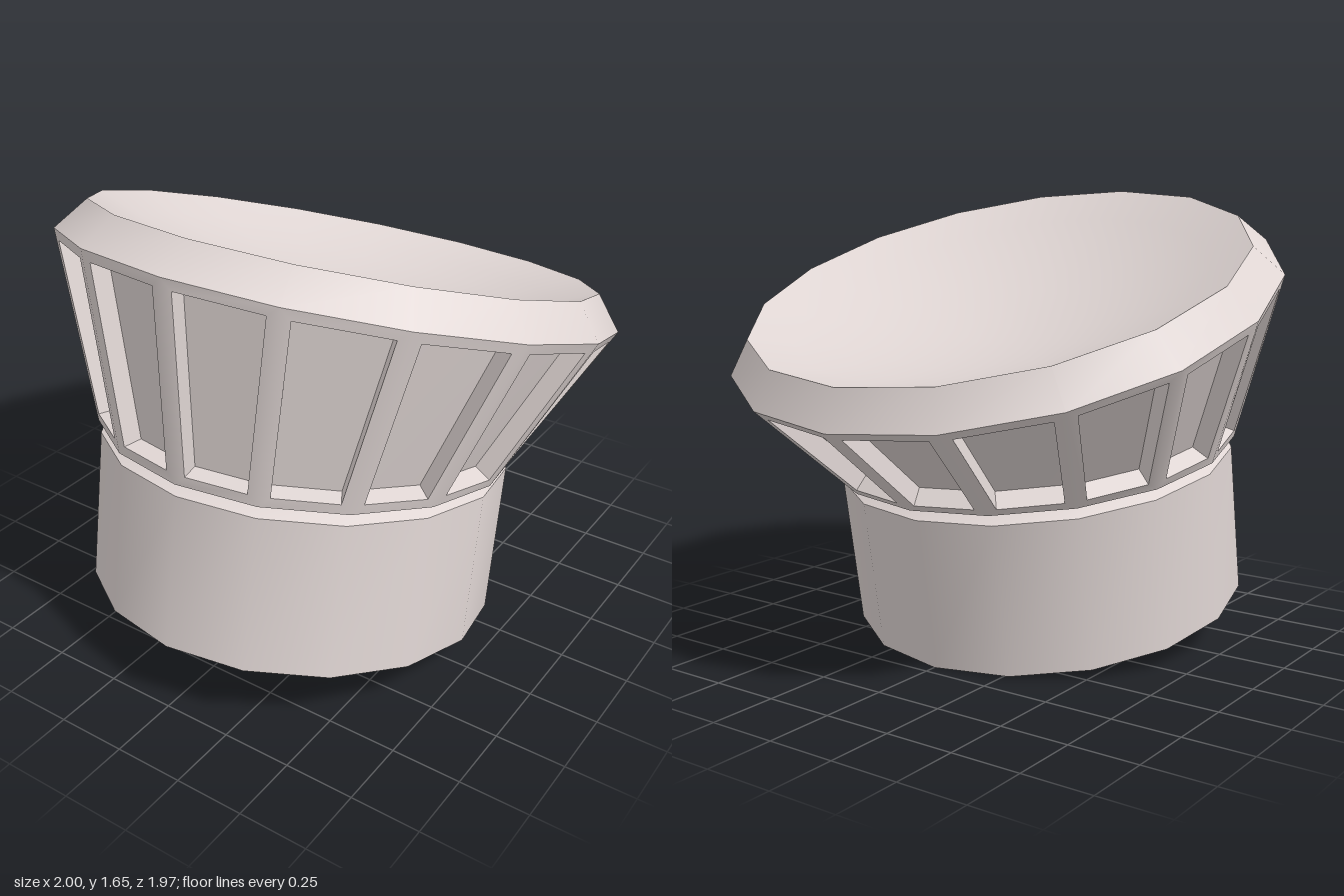
import * as THREE from 'three';
import { toCreasedNormals } from 'three/addons/utils/BufferGeometryUtils.js';

const SIDES = 16;
const fabric = new THREE.MeshStandardMaterial({ color: 0xe0d6d4, side: THREE.DoubleSide });
fabric.name = 'off-white fabric';

// Tilted ring of points: centre height, centre depth, radius, backward tilt in degrees
function ring(cy, cz, r, degrees) {
  const t = THREE.MathUtils.degToRad(degrees);
  return Array.from({ length: SIDES }, (_, i) => {
    const a = (i / SIDES) * Math.PI * 2;
    const d = r * Math.cos(a);
    return new THREE.Vector3(r * Math.sin(a), cy + d * Math.sin(t), cz + d * Math.cos(t));
  });
}

const quad = (a, b, c, d) => [a, b, c, a, c, d];

// Wall between two rings, facing outwards
function wall(lower, upper) {
  return lower.flatMap((p, i) => {
    const j = (i + 1) % SIDES;
    return quad(p, lower[j], upper[j], upper[i]);
  });
}

// Fan from a ring to a centre point
const fan = (points, centre) => points.flatMap((p, i) => [p, points[(i + 1) % SIDES], centre]);

function addPart(group, name, points) {
  const geometry = new THREE.BufferGeometry().setFromPoints(points);
  const mesh = new THREE.Mesh(toCreasedNormals(geometry, 0.55), fabric);
  mesh.name = name;
  group.add(mesh);
}

// Move a corner inwards by a fixed margin along both of its edges
function insetCorner(corner, alongSide, alongHeight, margin) {
  const s = alongSide.clone().sub(corner).normalize();
  const h = alongHeight.clone().sub(corner).normalize();
  return corner.clone().addScaledVector(s, margin).addScaledVector(h, margin);
}

export function createModel() {
  const hat = new THREE.Group();
  hat.name = 'pleatedHat';

  // Ring outlines from the head opening to the top
  const bandBottom = ring(0.126, 0.267, 0.733, 9.9);
  const bandTop = ring(0.673, 0.172, 0.733, 9.9);
  const neck = ring(0.695, 0.164, 0.69, 9.9);
  const crownBottom = ring(0.716, 0.158, 0.748, 9.9);
  const crownTop = ring(1.238, -0.04, 1.0, 19.4);
  const rimTop = ring(1.347, -0.081, 0.907, 19.4);

  // Head band, open underneath, with a lining inside
  addPart(hat, 'headBand', wall(bandBottom, bandTop));
  const liningCentre = new THREE.Vector3(0, 0.485, 0.205);
  addPart(hat, 'innerLining', fan(ring(0.485, 0.205, 0.731, 9.9).reverse(), liningCentre));

  // Groove between band and crown
  addPart(hat, 'neckGroove', [...wall(bandTop, neck), ...wall(neck, crownBottom)]);

  // Crown ribs framing a sunken panel on every side
  const ribs = [], recessWalls = [], panels = [];
  for (let i = 0; i < SIDES; i++) {
    const j = (i + 1) % SIDES;
    const outer = [crownBottom[i], crownBottom[j], crownTop[j], crownTop[i]];
    const inner = outer.map((p, k) => {
      const next = outer[(k + 1) % 4], previous = outer[(k + 3) % 4];
      return insetCorner(p, next, previous, 0.038);
    });
    const normal = outer[2].clone().sub(outer[0]).cross(outer[3].clone().sub(outer[1])).normalize();
    const floor = inner.map((p) => p.clone().addScaledVector(normal, -0.07));
    for (let k = 0; k < 4; k++) {
      const n = (k + 1) % 4;
      ribs.push(...quad(outer[k], outer[n], inner[n], inner[k]));
      recessWalls.push(...quad(inner[k], inner[n], floor[n], floor[k]));
    }
    panels.push(...quad(...floor));
  }
  addPart(hat, 'crownRibs', ribs);
  addPart(hat, 'panelRecesses', recessWalls);
  addPart(hat, 'sunkenPanels', panels);

  // Bevelled upper rim
  addPart(hat, 'upperRim', wall(crownTop, rimTop));

  // Dished top
  const tilt = THREE.MathUtils.degToRad(19.4);
  const depth = 0.2, steps = 6;
  const dishCentre = (f) => [
    1.347 - depth * (1 - f * f) * Math.cos(tilt),
    -0.081 + depth * (1 - f * f) * Math.sin(tilt),
  ];
  const dish = [];
  let edge = rimTop;
  for (let s = steps - 1; s > 0; s--) {
    const f = s / steps;
    const next = ring(...dishCentre(f), 0.907 * f, 19.4);
    dish.push(...wall(edge, next));
    edge = next;
  }
  dish.push(...fan(edge, new THREE.Vector3(0, ...dishCentre(0))));
  addPart(hat, 'dishedTop', dish);

  return hat;
}
